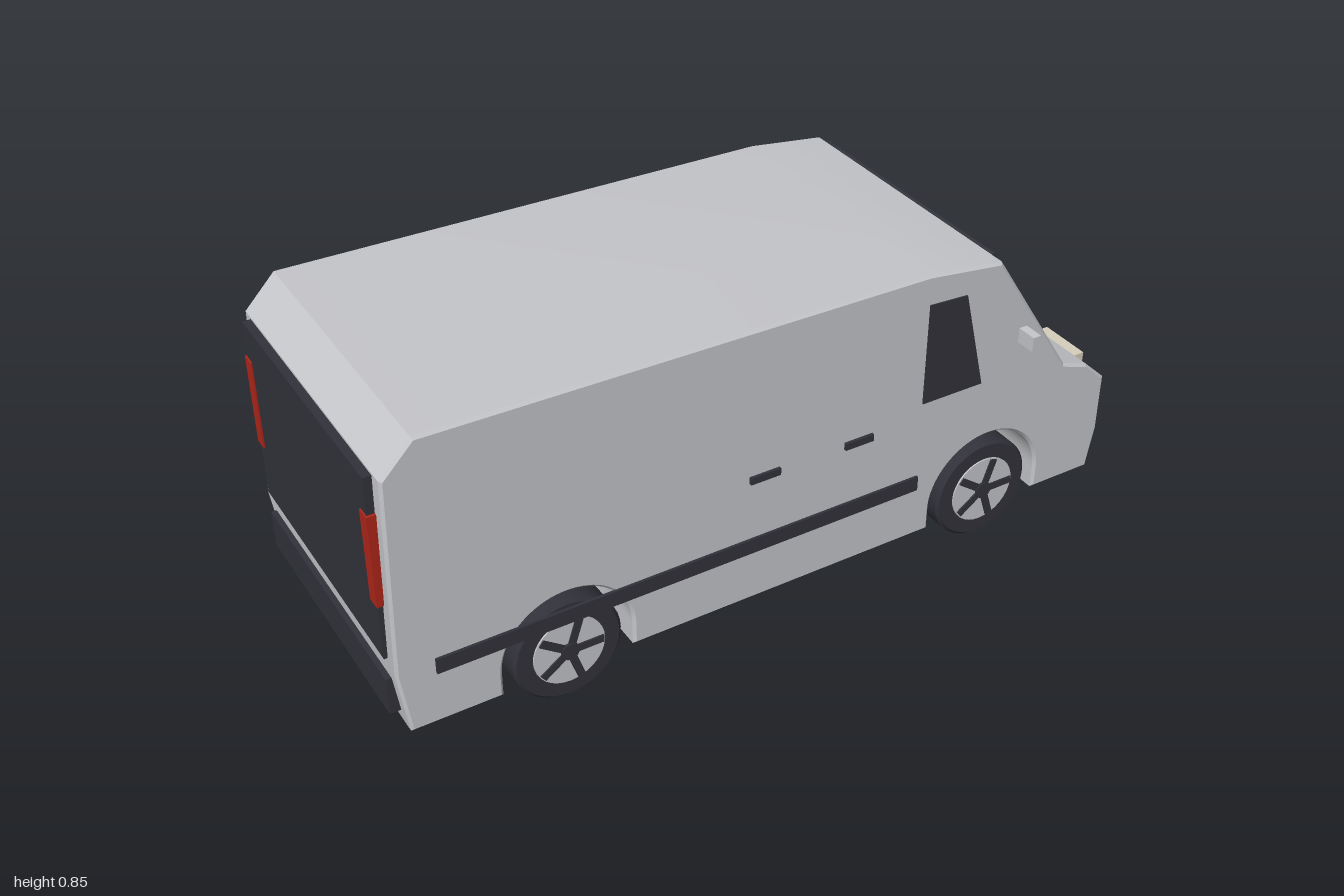
import * as THREE from 'three';
import { toCreasedNormals } from 'three/addons/utils/BufferGeometryUtils.js';

const material = (name, color) => {
  const m = new THREE.MeshStandardMaterial({ color });
  m.name = name;
  return m;
};

export function createModel() {
  const van = new THREE.Group();
  van.name = 'van';
  const silver = material('silver paint', 0xc6c7cb);
  const dark = material('dark glass and rubber', 0x32323b);
  const cream = material('headlight cream', 0xd6cfbc);
  const red = material('tail light red', 0xb0261a);

  const add = (parent, name, geometry, mat, x = 0, y = 0, z = 0) => {
    const mesh = new THREE.Mesh(geometry, mat);
    mesh.name = name;
    mesh.position.set(x, y, z);
    parent.add(mesh);
    return mesh;
  };
  // Box given by its limits on each axis
  const box = (name, mat, [x0, x1], [y0, y1], [z0, z1]) =>
    add(van, name, new THREE.BoxGeometry(x1 - x0, y1 - y0, z1 - z0), mat,
      (x0 + x1) / 2, (y0 + y1) / 2, (z0 + z1) / 2);

  const axles = [-0.57, 0.617];
  const archY = 0.143, archR = 0.168, sill = 0.08;

  // Body: side profile with wheel arches, extruded across the width
  const profile = new THREE.Shape();
  profile.moveTo(-0.965, sill);
  for (const x of axles) {
    profile.lineTo(x - archR, sill);
    profile.lineTo(x - archR, archY);
    profile.absarc(x, archY, archR, Math.PI, 0, true);
    profile.lineTo(x + archR, sill);
  }
  [[0.97, sill], [0.99, 0.2], [0.99, 0.355], [0.925, 0.415], [0.848, 0.442], [0.61, 0.807],
    [0.4, 0.835], [-0.897, 0.852], [-0.975, 0.77], [-0.988, 0.25]].forEach(p => profile.lineTo(...p));
  profile.closePath();
  const bevel = 0.007, halfWidth = 0.389;
  const bodyGeometry = new THREE.ExtrudeGeometry(profile, {
    depth: 2 * (halfWidth - bevel), curveSegments: 20, bevelEnabled: true,
    bevelThickness: bevel, bevelSize: bevel, bevelOffset: -bevel, bevelSegments: 1
  });
  bodyGeometry.translate(0, 0, -(halfWidth - bevel));
  add(van, 'body', toCreasedNormals(bodyGeometry, 0.25), silver);

  // Windscreen lies on the sloping face
  const windscreen = add(van, 'windscreen', new THREE.BoxGeometry(0.009, 0.435, 0.692), dark, 0.732, 0.626, 0);
  windscreen.rotation.z = Math.atan2(0.238, 0.365);

  // Front and rear fittings
  box('grille', dark, [0.985, 0.997], [0.255, 0.343], [-0.2, 0.2]);
  box('frontBumper', dark, [0.975, 1], [0.11, 0.18], [-0.35, 0.35]);
  box('rearWindow', dark, [-0.996, -0.97], [0.28, 0.765], [-0.35, 0.35]);
  box('rearBumper', dark, [-0.998, -0.97], [0.12, 0.22], [-0.35, 0.35]);

  // Side window outline
  const pane = new THREE.Shape([[0.4, 0.48], [0.576, 0.48], [0.508, 0.75], [0.4, 0.756]]
    .map(p => new THREE.Vector2(...p)));
  const paneGeometry = new THREE.ExtrudeGeometry(pane, { depth: 0.008, bevelEnabled: false });

  // Wheel parts, shared by all four wheels
  const tyreProfile = [[0.085, -0.048], [0.132, -0.048], [0.14, -0.04], [0.14, 0.04],
    [0.132, 0.048], [0.085, 0.048]].map(p => new THREE.Vector2(...p));
  const tyreGeometry = toCreasedNormals(new THREE.LatheGeometry(tyreProfile, 40), 0.5).rotateX(Math.PI / 2);
  const rimGeometry = new THREE.CylinderGeometry(0.092, 0.092, 0.104, 32).rotateX(Math.PI / 2);
  const hubGeometry = new THREE.CylinderGeometry(0.023, 0.023, 0.118, 16).rotateX(Math.PI / 2);
  const spokeGeometry = new THREE.BoxGeometry(0.088, 0.02, 0.112).translate(0.044, 0, 0);

  for (const [side, s] of [['left', -1], ['right', 1]]) {
    const z = (a, b) => (s > 0 ? [a, b] : [-b, -a]);
    box(side + 'Headlight', cream, [0.94, 0.972], [0.368, 0.4], z(0.178, 0.322));
    box(side + 'TailLight', red, [-1, -0.975], [0.43, 0.67], z(0.32, 0.357));
    box(side + 'Mirror', silver, [0.683, 0.706], [0.562, 0.602], z(0.38, 0.443));
    box(side + 'Stripe', dark, [-0.895, 0.4], [0.225, 0.266], z(0.388, 0.396));
    box(side + 'RearHandle', dark, [-0.09, -0.008], [0.428, 0.447], z(0.388, 0.397));
    box(side + 'FrontHandle', dark, [0.175, 0.255], [0.428, 0.447], z(0.388, 0.397));
    add(van, side + 'Window', paneGeometry, dark, 0, 0, s > 0 ? 0.385 : -0.393);

    axles.forEach((x, i) => {
      const wheel = new THREE.Group();
      wheel.name = side + (i ? 'Front' : 'Rear') + 'Wheel';
      wheel.position.set(x, 0.14, s * 0.337);
      van.add(wheel);
      add(wheel, 'tyre', tyreGeometry, dark);
      add(wheel, 'rim', rimGeometry, silver);
      add(wheel, 'hub', hubGeometry, dark);
      for (let k = 0; k < 5; k++) {
        add(wheel, 'spoke', spokeGeometry, dark).rotation.z = k * Math.PI * 0.4;
      }
    });
  }
  return van;
}
